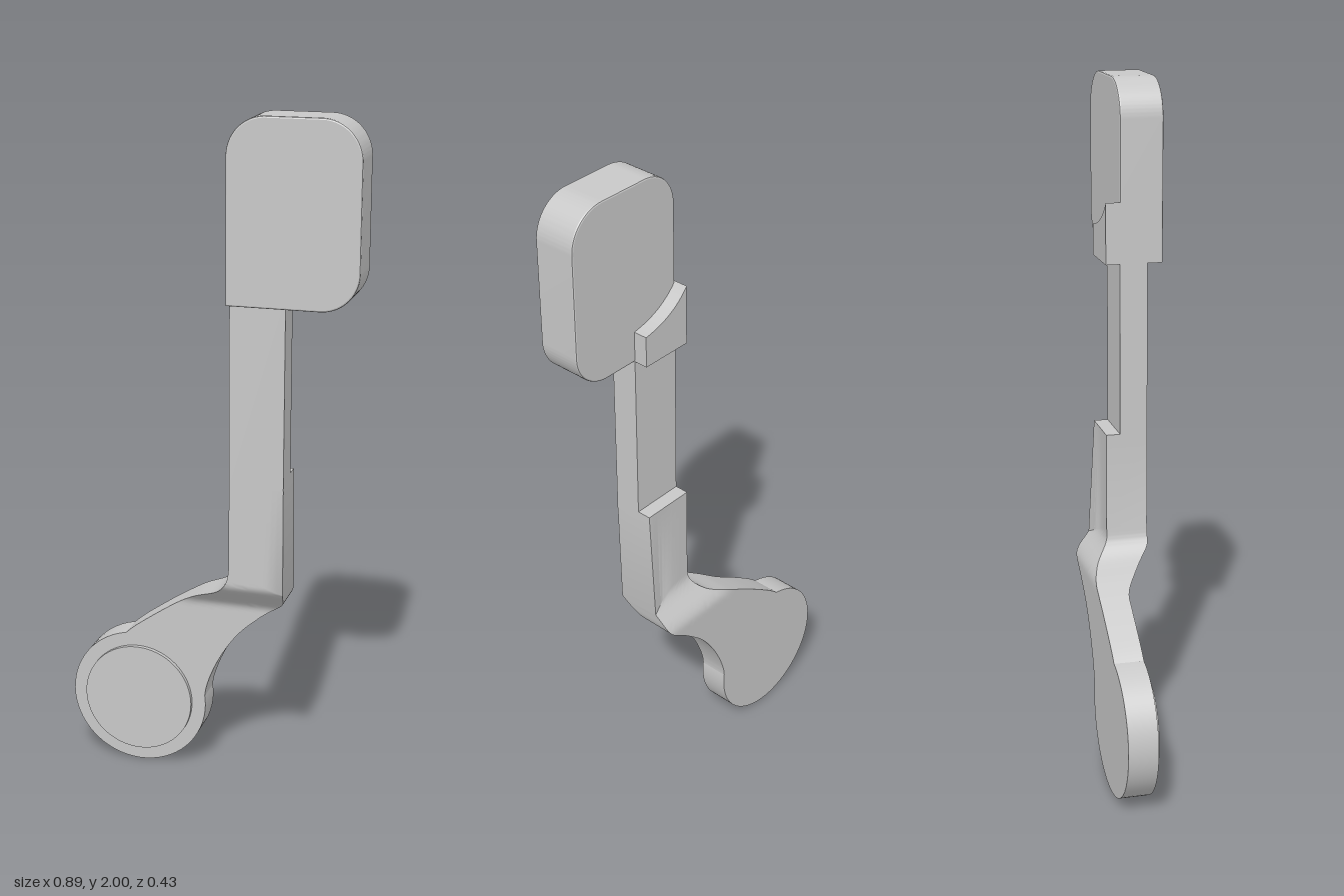
import * as THREE from 'three';
import { toCreasedNormals } from 'three/addons/utils/BufferGeometryUtils.js';

// Plate cut from a shape in the x-y plane, reaching from z0 to z1
function plate(shape, z0, z1, bevel = 0) {
  const g = new THREE.ExtrudeGeometry(shape, {
    depth: z1 - z0 - 2 * bevel, curveSegments: 16,
    bevelEnabled: bevel > 0, bevelSize: bevel, bevelOffset: -bevel,
    bevelThickness: bevel, bevelSegments: 2,
  });
  g.translate(0, 0, z0 + bevel);
  return toCreasedNormals(g, 0.25);
}

function disc(x, y, r, z0, z1) {
  const g = new THREE.CylinderGeometry(r, r, z1 - z0, 64);
  g.rotateX(Math.PI / 2);
  g.translate(x, y, (z0 + z1) / 2);
  return g;
}

// Curved arm: a flat plate that steps forward where it meets the upright shaft
function armGeometry() {
  const curve = (pts) => new THREE.CatmullRomCurve3(pts.map(([x, y]) => new THREE.Vector3(x, y, 0)));
  const left = curve([[-0.32, 0.36], [-0.29, 0.41], [-0.173, 0.5], [-0.06, 0.57],
    [0.025, 0.615], [0.058, 0.655], [0.066, 0.7]]);
  const right = curve([[-0.037, 0.2], [-0.033, 0.26], [0.003, 0.355], [0.065, 0.45],
    [0.135, 0.515], [0.208, 0.572], [0.225, 0.63]]);
  const rows = 48, cols = 10, ring = 2 * (cols + 1);
  const pos = [], idx = [];
  for (let i = 0; i <= rows + 1; i++) {
    const a = i <= rows ? left.getPoint(i / rows) : new THREE.Vector3(0.066, 0.98, 0);
    const b = i <= rows ? right.getPoint(i / rows) : new THREE.Vector3(0.225, 0.98, 0);
    for (let k = 0; k < ring; k++) {
      const front = k <= cols;
      const p = a.clone().lerp(b, (front ? k : ring - 1 - k) / cols);
      const s = THREE.MathUtils.smoothstep(p.y, front ? 0.535 : 0.56, front ? 0.65 : 0.67);
      pos.push(p.x, p.y, front ? -0.013 + 0.098 * s : -0.1 + 0.0625 * s);
    }
  }
  for (let i = 0; i <= rows; i++) {
    for (let k = 0; k < ring; k++) {
      const n = (k + 1) % ring, o = i * ring, q = o + ring;
      idx.push(o + k, o + n, q + n, o + k, q + n, q + k);
    }
  }
  // Flat step on top
  const t = (rows + 1) * ring;
  idx.push(t, t + cols, t + cols + 1, t, t + cols + 1, t + ring - 1);
  const g = new THREE.BufferGeometry();
  g.setAttribute('position', new THREE.Float32BufferAttribute(pos, 3));
  g.setIndex(idx);
  return toCreasedNormals(g, 0.6);
}

export function createModel() {
  const grey = new THREE.MeshStandardMaterial({ color: 0xc8c8c8 });
  grey.name = 'grey';
  const model = new THREE.Group();
  model.name = 'crankHandle';
  const add = (name, geometry) => {
    const mesh = new THREE.Mesh(geometry, grey);
    mesh.name = name;
    model.add(mesh);
  };

  // Pivot end
  add('pivotDisc', disc(-0.244, 0.21, 0.21, -0.1, -0.013));
  add('pivotCap', disc(-0.244, 0.21, 0.168, -0.03, 0));

  add('arm', armGeometry());

  // Upright shaft
  const shaft = new THREE.BoxGeometry(0.159, 0.56, 0.081);
  shaft.translate(0.1455, 1.23, 0.0445);
  add('shaft', shaft);

  // Grip pad: three rounded corners, one square
  const x0 = 0.066, x1 = 0.439, y0 = 1.483, y1 = 2, r = 0.11;
  const pad = new THREE.Shape();
  pad.moveTo(x0, y0);
  pad.lineTo(x1 - r, y0);
  pad.absarc(x1 - r, y0 + r, r, -Math.PI / 2, 0);
  pad.absarc(x1 - r, y1 - r, r, 0, Math.PI / 2);
  pad.absarc(x0 + r, y1 - r, r, Math.PI / 2, Math.PI);
  pad.closePath();
  add('gripPad', plate(pad, 0.004, 0.13, 0.005));

  // Block behind the pad, with a scooped top
  const block = new THREE.Shape();
  block.moveTo(0.066, 1.483);
  block.lineTo(0.225, 1.483);
  block.lineTo(0.225, 1.575);
  block.quadraticCurveTo(0.12, 1.59, 0.066, 1.66);
  block.closePath();
  add('backBlock', plate(block, -0.0375, 0.02));

  model.rotation.y = Math.PI / 6;
  const root = new THREE.Group();
  root.name = 'model';
  root.add(model);
  return root;
}
